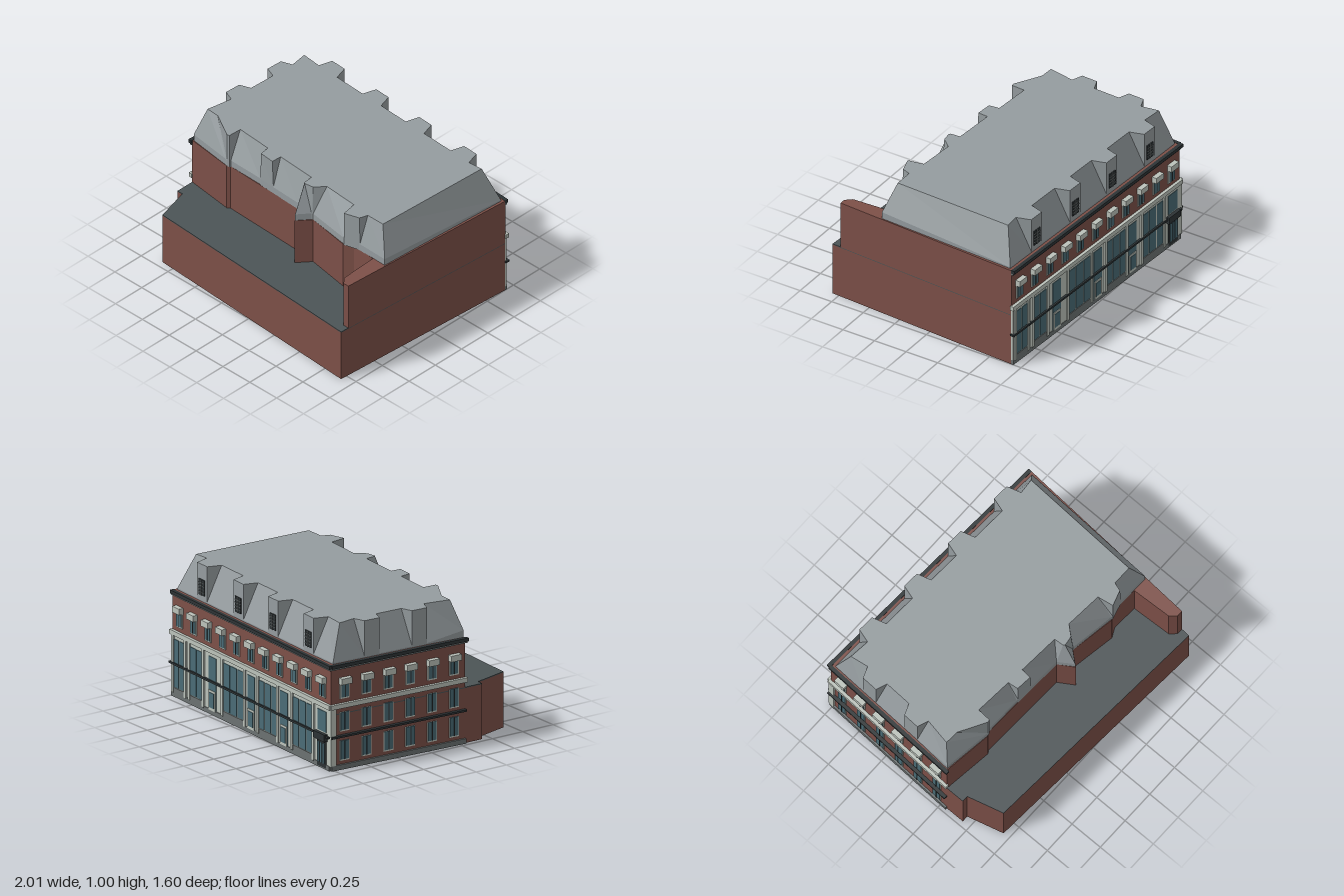
import * as THREE from 'three';

const mat = (name, color) => {
  const m = new THREE.MeshStandardMaterial({ color });
  m.name = name;
  m.flatShading = true;
  return m;
};

// Closed solid through horizontal rings of [x, y, z], capped at both ends
function loft(rings) {
  const pos = [];
  const tri = (a, b, c) => pos.push(...a, ...b, ...c);
  const n = rings[0].length;
  for (let r = 0; r + 1 < rings.length; r++) {
    for (let i = 0; i < n; i++) {
      const j = (i + 1) % n, lo = rings[r], hi = rings[r + 1];
      tri(lo[i], hi[j], lo[j]);
      tri(lo[i], hi[i], hi[j]);
    }
  }
  const cap = (ring, up) => {
    const flat = ring.map(p => new THREE.Vector2(p[0], p[2]));
    for (const [i, j, k] of THREE.ShapeUtils.triangulateShape(flat, [])) {
      const [a, b, c] = [ring[i], ring[j], ring[k]];
      const ny = (b[2] - a[2]) * (c[0] - a[0]) - (b[0] - a[0]) * (c[2] - a[2]);
      if ((ny > 0) === up) tri(a, b, c); else tri(a, c, b);
    }
  };
  cap(rings[0], false);
  cap(rings[rings.length - 1], true);
  const g = new THREE.BufferGeometry();
  g.setAttribute('position', new THREE.Float32BufferAttribute(pos, 3));
  g.computeVertexNormals();
  return g;
}

const prism = (outline, y0, y1) =>
  loft([y0, y1].map(y => outline.map(([x, z]) => [x, y, z])));

// Wall corners
const BACK_R = [1, -0.675], BACK_L = [-0.915, -0.77], LEFT_F = [-0.965, 0.3];

export function createModel() {
  const brick = mat('brick', 0x7d5048);
  const roofGrey = mat('roofGrey', 0x959c9f);
  const slate = mat('slate', 0x4c5456);
  const stone = mat('stone', 0xbcc3bb);
  const glass = mat('glass', 0x4a6c76);
  const trim = mat('darkTrim', 0x2d3335);
  const plinthGrey = mat('plinthGrey', 0x6c7272);

  const model = new THREE.Group();
  model.name = 'cornerBuilding';
  const add = (parent, name, geo, material) => {
    const m = new THREE.Mesh(geo, material);
    m.name = name;
    parent.add(m);
    return m;
  };

  // Lower storey with the wide rear extension and its slate roof
  const lower = [BACK_L, BACK_R, [0.91, 0.8], [-0.85, 0.7], [-0.92, 0.44], [-0.965, 0.44], LEFT_F];
  add(model, 'lowerWalls', prism(lower, 0, 0.385), brick);
  add(model, 'extensionRoof', prism(lower, 0.385, 0.392), slate);

  // Upper storey, including the end wall that reaches over the extension
  const upper = [BACK_L, BACK_R, [0.914, 0.735], [0.87, 0.735], [0.83, 0.69], [0.815, 0.4],
    [0.63, 0.39], [0.56, 0.425], [0.23, 0.37], [0.15, 0.465], [0.08, 0.355],
    [-0.17, 0.345], [-0.58, 0.33], [-0.6, 0.345], LEFT_F];
  add(model, 'upperWalls', prism(upper, 0.39, 0.74), brick);

  // Mansard roof: each entry is eave x, z and top x, z
  const backEdge = x => -0.7 + 0.0496 * x;
  const leftEdge = z => -0.933 - 0.044 * z;
  const dormers = [-0.61, -0.18, 0.24, 0.68];
  const roof = [[-0.9, -0.742, -0.85, -0.65]];
  for (const c of dormers) {
    for (const [s, notch] of [[-1, 1], [-1, 0], [1, 0], [1, 1]]) {
      const x = c + s * 0.06, tx = x + s * 0.03 * notch;
      roof.push([x, backEdge(x), tx, backEdge(tx) + 0.1 * notch]);
    }
  }
  roof.push(
    [0.98, -0.651, 0.88, -0.57], [0.925, 0.4, 0.84, 0.33],
    [0.69, 0.395, 0.7, 0.33], [0.68, 0.395, 0.68, 0.39], [0.57, 0.425, 0.57, 0.425],
    [0.56, 0.42, 0.55, 0.31], [0.23, 0.37, 0.28, 0.29], [0.22, 0.375, 0.22, 0.36],
    [0.15, 0.46, 0.15, 0.37], [0.08, 0.355, 0.14, 0.36], [0.07, 0.355, 0.135, 0.29],
    [-0.165, 0.345, -0.17, 0.27], [-0.17, 0.345, -0.175, 0.345], [-0.29, 0.34, -0.29, 0.335],
    [-0.3, 0.335, -0.3, 0.26], [-0.575, 0.33, -0.575, 0.24], [-0.58, 0.34, -0.58, 0.34],
    [-0.6, 0.343, -0.6, 0.343], [-0.62, 0.34, -0.79, 0.235], [-0.955, 0.295, -0.89, 0.23]);
  for (const c of [-0.05, -0.43]) {
    for (const [s, notch] of [[1, 1], [1, 0], [-1, 0], [-1, 1]]) {
      const z = c + s * 0.06, tz = z + s * 0.03 * notch;
      roof.push([leftEdge(z), z, leftEdge(tz) + 0.08 * notch, tz]);
    }
  }
  add(model, 'mansardRoof', loft([
    roof.map(p => [p[0], 0.738, p[1]]),
    roof.map(p => [p[0], p[1] > 0.2 ? 0.79 : 0.75, p[1]]),
    roof.map(p => [p[2], 1, p[3]]),
  ]), roofGrey);

  // Facade frame: local x runs along the wall, local z points outward
  const facade = (name, a, b) => {
    const g = new THREE.Group();
    g.name = name;
    g.position.set(a[0], 0, a[1]);
    g.rotation.y = Math.atan2(-(b[1] - a[1]), b[0] - a[0]);
    model.add(g);
    const length = Math.hypot(b[0] - a[0], b[1] - a[1]);
    const box = (part, m, x0, x1, y0, y1, depth, from = -0.005) => {
      const mesh = add(g, part, new THREE.BoxGeometry(x1 - x0, y1 - y0, depth - from), m);
      mesh.position.set((x0 + x1) / 2, (y0 + y1) / 2, (depth + from) / 2);
    };
    return { length, box };
  };

  // Framed window with a projecting lintel
  const topWindow = (box, x) => {
    box('windowFrame', stone, x - 0.037, x + 0.037, 0.495, 0.61, 0.007);
    box('windowGlass', glass, x - 0.029, x + 0.029, 0.505, 0.61, 0.011);
    box('windowMullion', trim, x - 0.003, x + 0.003, 0.505, 0.61, 0.014);
    box('windowLintel', stone, x - 0.042, x + 0.042, 0.6, 0.643, 0.036);
  };
  const bands = (box, length) => {
    box('plinth', plinthGrey, 0, length, 0, 0.035, 0.014);
    box('middleBand', trim, -0.01, length, 0.228, 0.242, 0.026);
    box('stoneCornice', stone, -0.01, length + 0.01, 0.432, 0.464, 0.022);
    box('eavesCornice', trim, 0, length + 0.015, 0.718, 0.742, 0.022);
    box('eavesLip', plinthGrey, 0, length + 0.01, 0.705, 0.718, 0.012);
  };

  // Shop facade along the back
  const shop = facade('shopFacade', BACK_R, BACK_L);
  const L = shop.length, sb = shop.box;
  bands(sb, L);
  sb('shopfrontStone', stone, 0, L, 0.03, 0.435, 0.01);
  for (let i = 0; i < 11; i++) topWindow(sb, L * (0.045 + 0.0905 * i));
  for (const [t0, t1, n] of [[0.012, 0.09, 2], [0.115, 0.205, 2], [0.325, 0.465, 3], [0.55, 0.675, 3], [0.765, 0.9, 3]]) {
    const w = (t1 - t0) * L / n;
    sb('stallRiser', plinthGrey, t0 * L, t1 * L, 0.02, 0.065, 0.015);
    for (let i = 0; i < n; i++) {
      const x = t0 * L + i * w;
      sb('shopWindow', glass, x + 0.006, x + w - 0.006, 0.07, 0.405, 0.014);
    }
    for (const t of [t0, t1]) sb('shopPilaster', stone, t * L - 0.012, t * L + 0.012, 0.03, 0.432, 0.02);
  }
  for (const t of [0.26, 0.505, 0.712]) {
    const x = t * L;
    sb('doorGlass', glass, x - 0.045, x + 0.045, 0.03, 0.405, 0.013);
    sb('doorLeaf', stone, x - 0.04, x + 0.04, 0.03, 0.17, 0.017);
    sb('doorPane', glass, x - 0.028, x + 0.028, 0.05, 0.155, 0.02);
  }
  // Corner entrance under a dark canopy
  sb('cornerDoor', trim, 0.925 * L, 0.98 * L, 0.01, 0.2, 0.016);
  for (let i = 0; i < 3; i++) {
    const x = L * (0.932 + 0.016 * i);
    sb('cornerDoorPane', glass, x, x + 0.018, 0.04, 0.18, 0.02);
  }
  sb('cornerCanopy', trim, 0.915 * L, 0.985 * L, 0.2, 0.25, 0.035);
  sb('cornerWindow', glass, 0.925 * L, 0.98 * L, 0.26, 0.405, 0.014);

  // Louvred dormer windows
  for (const c of dormers) {
    const x = L * (1 - c) / 1.915;
    sb('dormerLouvre', trim, x - 0.035, x + 0.035, 0.785, 0.895, -0.018, -0.027);
    for (let i = 1; i < 5; i++) {
      sb('louvreBar', plinthGrey, x - 0.035, x + 0.035, 0.783 + i * 0.022, 0.788 + i * 0.022, -0.015, -0.02);
    }
    sb('louvrePost', plinthGrey, x - 0.003, x + 0.003, 0.785, 0.895, -0.014, -0.02);
  }

  // Side facade on the left: three rows of windows in brick
  const side = facade('sideFacade', BACK_L, LEFT_F);
  const S = side.length;
  bands(side.box, S);
  side.box('cornerPier', stone, -0.01, 0.035, 0.03, 0.435, 0.014);
  for (let i = 0; i < 6; i++) {
    const x = S * (0.1 + 0.163 * i);
    topWindow(side.box, x);
    for (const [y0, y1] of [[0.07, 0.2], [0.275, 0.4]]) {
      side.box('sideWindowFrame', stone, x - 0.038, x + 0.038, y0 - 0.01, y1, 0.005);
      side.box('sideWindowGlass', glass, x - 0.033, x + 0.033, y0, y1, 0.009);
      side.box('sideWindowMullion', trim, x - 0.003, x + 0.003, y0, y1, 0.012);
    }
  }
  return model;
}
